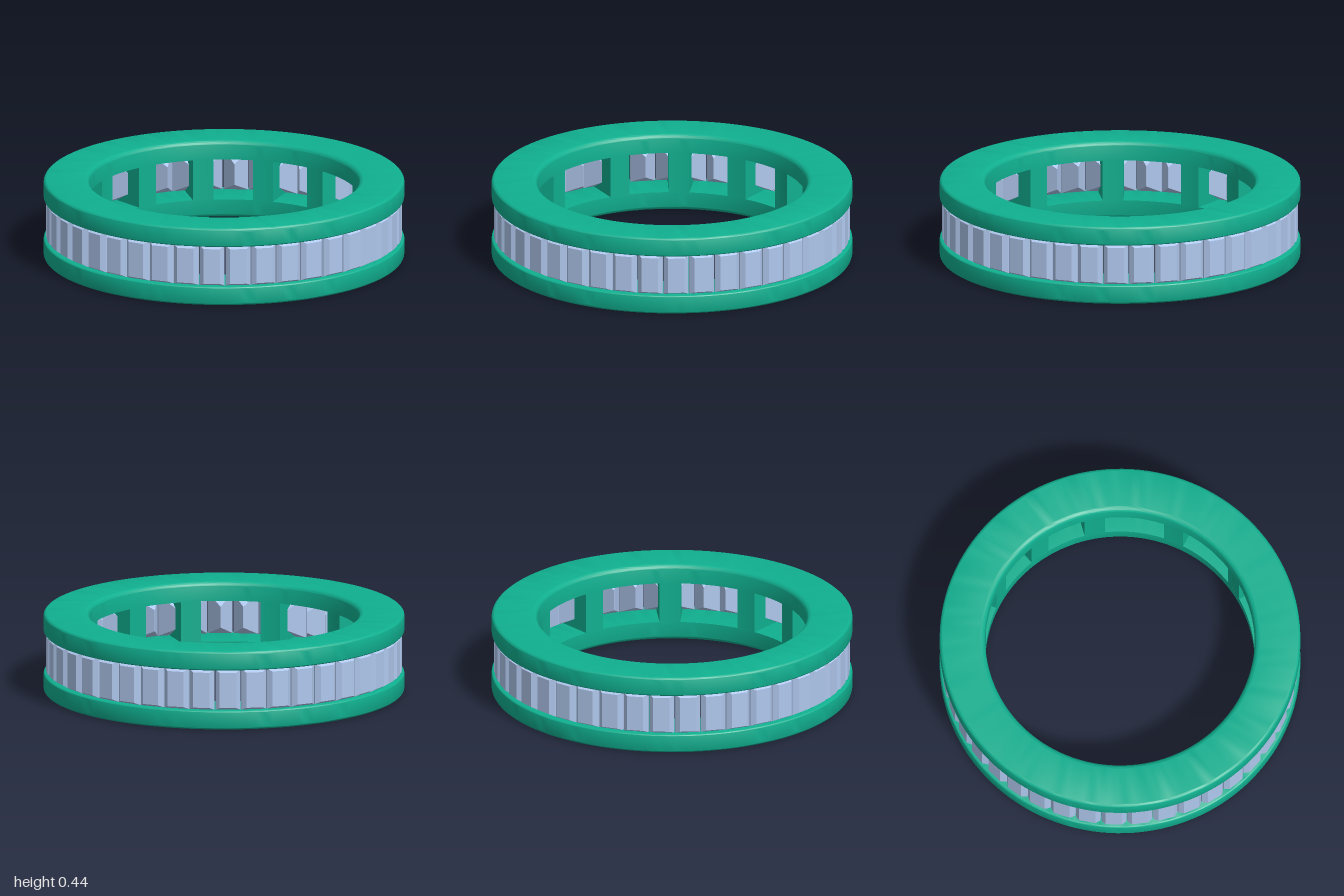
import * as THREE from 'three';
import { toCreasedNormals } from 'three/addons/utils/BufferGeometryUtils.js';

const GEMS = 42;
const STEP = (Math.PI * 2) / GEMS;
const INNER = 0.747, OUTER = 1, HEIGHT = 0.444;
const SLOT_LOW = 0.107, SLOT_HIGH = 0.337;
const SLOT_MID = (SLOT_LOW + SLOT_HIGH) / 2;

// One rail of the band: softened everywhere except beside the windows
function railGeometry() {
  const p = new THREE.Path();
  const ro = 0.018, ri = 0.03;
  p.moveTo(OUTER - ro, 0);
  p.absarc(OUTER - ro, ro, ro, -Math.PI / 2, 0, false);
  p.absarc(OUTER - 0.01, SLOT_LOW - 0.01, 0.01, 0, Math.PI / 2, false);
  p.lineTo(INNER, SLOT_LOW);
  p.lineTo(INNER, ri);
  p.absarc(INNER + ri, ri, ri, Math.PI, Math.PI * 1.5, false);
  p.lineTo(OUTER - ro, 0);
  return toCreasedNormals(new THREE.LatheGeometry(p.getPoints(6), 128), 0.5);
}

// Upright between two windows: a sector of the band wall
function postGeometry() {
  const half = 0.077;
  const s = new THREE.Shape();
  s.absarc(0, 0, 0.94, -half, half, false);
  s.absarc(0, 0, INNER, half, -half, true);
  s.closePath();
  const g = new THREE.ExtrudeGeometry(s, { depth: SLOT_HIGH - SLOT_LOW, bevelEnabled: false, curveSegments: 6 });
  g.rotateX(-Math.PI / 2);
  g.rotateY(-Math.PI / 2); // sector faces +z
  g.translate(0, SLOT_LOW, 0);
  return toCreasedNormals(g, 0.5);
}

// Baguette cut: rectangular sections from the table inward to an upright keel
function gemGeometry() {
  const sections = [ // half width, half height, radius
    [0.046, 0.1, 0.987],
    [0.069, 0.114, 0.962],
    [0.069, 0.114, 0.945],
    [0.001, 0.06, 0.845],
  ];
  const pos = [], idx = [];
  for (const [w, h, z] of sections) {
    pos.push(-w, -h, z, w, -h, z, w, h, z, -w, h, z);
  }
  idx.push(0, 1, 2, 0, 2, 3);
  for (let s = 0; s < sections.length - 1; s++) {
    for (let i = 0; i < 4; i++) {
      const a = s * 4 + i, b = s * 4 + (i + 1) % 4;
      idx.push(a, a + 4, b, b, a + 4, b + 4);
    }
  }
  const e = (sections.length - 1) * 4;
  idx.push(e, e + 2, e + 1, e, e + 3, e + 2);
  const g = new THREE.BufferGeometry();
  g.setAttribute('position', new THREE.Float32BufferAttribute(pos, 3));
  g.setIndex(idx);
  const flat = g.toNonIndexed();
  flat.computeVertexNormals();
  return flat;
}

export function createModel() {
  const ring = new THREE.Group();
  ring.name = 'gemRing';
  const metal = new THREE.MeshStandardMaterial({ color: 0x10b090 });
  const stone = new THREE.MeshStandardMaterial({ color: 0xb0c8ee, flatShading: true });

  const add = (parent, name, geometry, material) => {
    const m = new THREE.Mesh(geometry, material);
    m.name = name;
    parent.add(m);
    return m;
  };

  // Two rails, the upper one turned over
  const rail = railGeometry();
  add(ring, 'lowerRail', rail, metal);
  const upper = add(ring, 'upperRail', rail, metal);
  upper.rotation.x = Math.PI;
  upper.position.y = HEIGHT;

  // Posts stand behind gaps between stones, framing windows of three or four stones
  const posts = new THREE.Group();
  posts.name = 'posts';
  ring.add(posts);
  const post = postGeometry();
  for (const slot of [1.5, 5.5, 9.5, 13.5, 16.5, 19.5]) {
    for (const side of [1, -1]) {
      add(posts, 'post', post, metal).rotation.y = side * slot * STEP;
    }
  }

  // Stones all the way round
  const gems = new THREE.Group();
  gems.name = 'gems';
  ring.add(gems);
  const gem = gemGeometry();
  for (let i = 0; i < GEMS; i++) {
    const m = add(gems, 'gem', gem, stone);
    m.position.y = SLOT_MID;
    m.rotation.y = i * STEP;
  }
  return ring;
}
